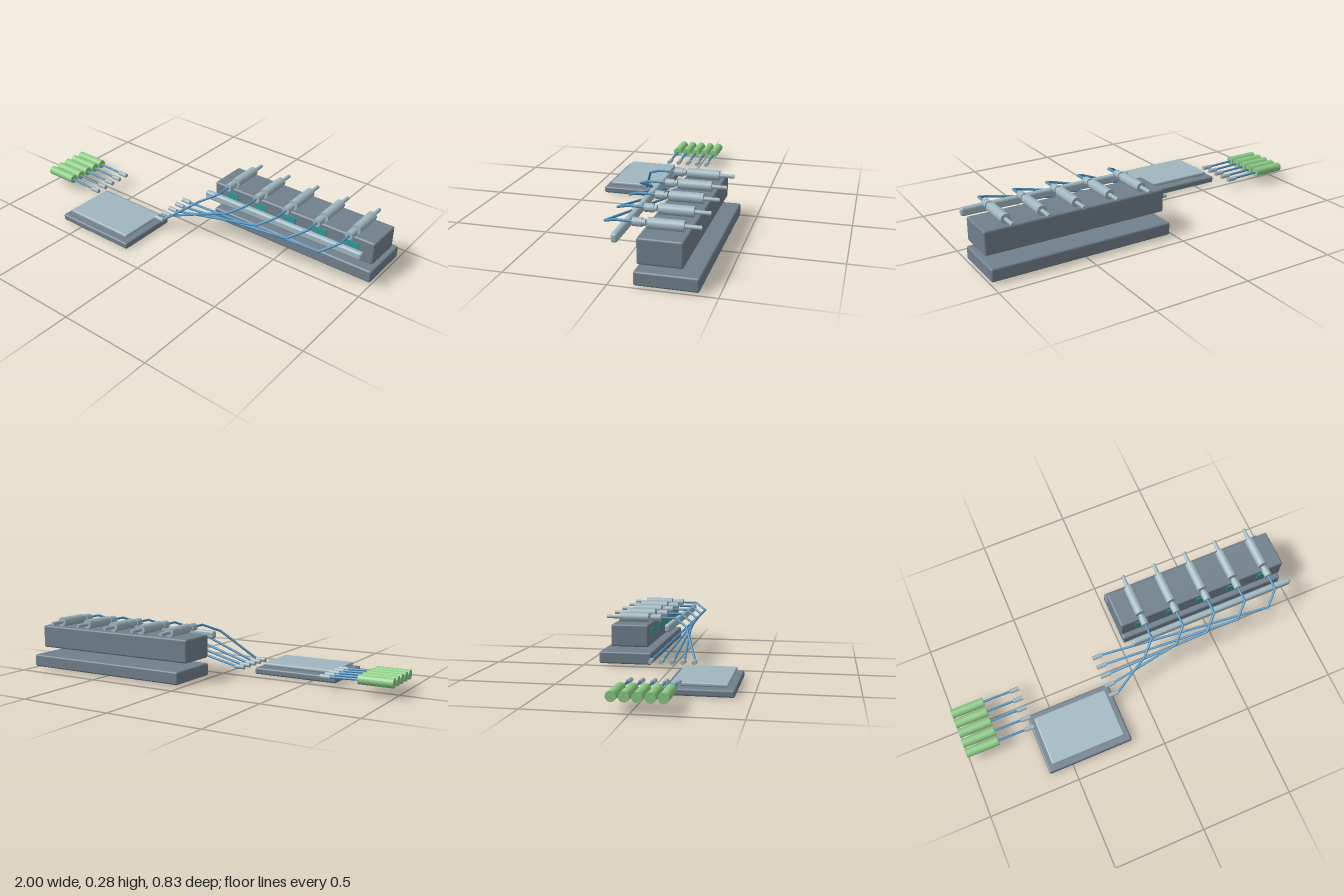
import * as THREE from 'three';
import { RoundedBoxGeometry } from 'three/addons/geometries/RoundedBoxGeometry.js';

function material(name, color) {
  const m = new THREE.MeshStandardMaterial({ color });
  m.name = name;
  return m;
}

export function createModel() {
  const model = new THREE.Group();
  const slate = material('slate grey', 0x71808c);
  const silver = material('pale silver', 0x9fb6bf);
  const green = material('soft green', 0x8ccb86);
  const blue = material('cable blue', 0x4f93c0);
  const teal = material('indicator teal', 0x2f9a98);

  function add(parent, name, geometry, mat, x, y, z) {
    const mesh = new THREE.Mesh(geometry, mat);
    mesh.name = name;
    mesh.position.set(x, y, z);
    parent.add(mesh);
    return mesh;
  }

  // Rounded box given by its limits on each axis
  function box(name, mat, [x0, x1], [y0, y1], [z0, z1], r) {
    return add(model, name, new RoundedBoxGeometry(x1 - x0, y1 - y0, z1 - z0, 3, r), mat,
      (x0 + x1) / 2, (y0 + y1) / 2, (z0 + z1) / 2);
  }

  // Cylinder between two points
  function rod(parent, name, mat, a, b, r, sides = 20) {
    const d = b.clone().sub(a);
    const mid = a.clone().add(b).multiplyScalar(0.5);
    const mesh = add(parent, name, new THREE.CylinderGeometry(r, r, d.length(), sides), mat, mid.x, mid.y, mid.z);
    mesh.quaternion.setFromUnitVectors(new THREE.Vector3(0, 1, 0), d.normalize());
    return mesh;
  }

  // Bent cable: straight runs with round elbows
  function cable(parent, name, points, r) {
    for (let i = 0; i < points.length - 1; i++) {
      rod(parent, name, blue, points[i], points[i + 1], r, 10);
      if (i > 0) {
        const p = points[i];
        add(parent, name + 'Elbow', new THREE.SphereGeometry(r, 10, 8), blue, p.x, p.y, p.z);
      }
    }
  }
  const v = (x, y, z) => new THREE.Vector3(x, y, z);

  // Long base slab, upper block and front rail
  box('baseSlab', slate, [0.022, 0.995], [0.008, 0.076], [-0.415, -0.118], 0.01);
  box('upperBlock', slate, [0.015, 0.99], [0.108, 0.232], [-0.343, -0.133], 0.01);
  box('rail', silver, [0.035, 0.98], [0.191, 0.236], [-0.046, -0.013], 0.013);

  // Flat control box with lid
  box('controlBox', slate, [-0.632, -0.156], [0, 0.036], [0.073, 0.415], 0.01);
  box('controlBoxLid', silver, [-0.602, -0.186], [0.041, 0.061], [0.107, 0.382], 0.008);

  for (let i = 0; i < 5; i++) {
    const x = 0.135 + i * 0.1838;
    const z = 0.151 - i * 0.0583;
    const y = 0.258;

    // Cylinder unit on top of the block
    const unit = new THREE.Group();
    unit.name = 'cylinderUnit';
    model.add(unit);
    rod(unit, 'unitBody', silver, v(x, y, -0.153), v(x, y, -0.32), 0.026);
    rod(unit, 'unitTip', silver, v(x, y, -0.32), v(x, y, -0.396), 0.01);
    rod(unit, 'plugCollar', silver, v(x, y, -0.083), v(x, y, -0.128), 0.021);
    rod(unit, 'plugNeck', silver, v(x, y, -0.128), v(x, y, -0.143), 0.016);

    // Indicator plate on the block face
    add(model, 'indicatorPlate', new THREE.BoxGeometry(0.072, 0.04, 0.006), teal, x, 0.183, -0.131);

    // Cable from plug to the control box connector
    cable(model, 'unitCable', [v(x, y, -0.083), v(x, y, 0), v(x - 0.072, 0.22, 0.072), v(-0.125, 0.068, z)], 0.0065);
    rod(model, 'rightConnector', silver, v(-0.18, 0.067, z), v(-0.125, 0.067, z), 0.012);

    // Green cell, its lead and connector
    rod(model, 'greenCell', green, v(-1, 0.075, z), v(-0.82, 0.075, z), 0.025, 24);
    cable(model, 'cellLead', [v(-0.82, 0.073, z), v(-0.67, 0.068, z)], 0.0065);
    rod(model, 'leftConnector', silver, v(-0.67, 0.067, z), v(-0.616, 0.067, z), 0.012);
  }
  return model;
}
